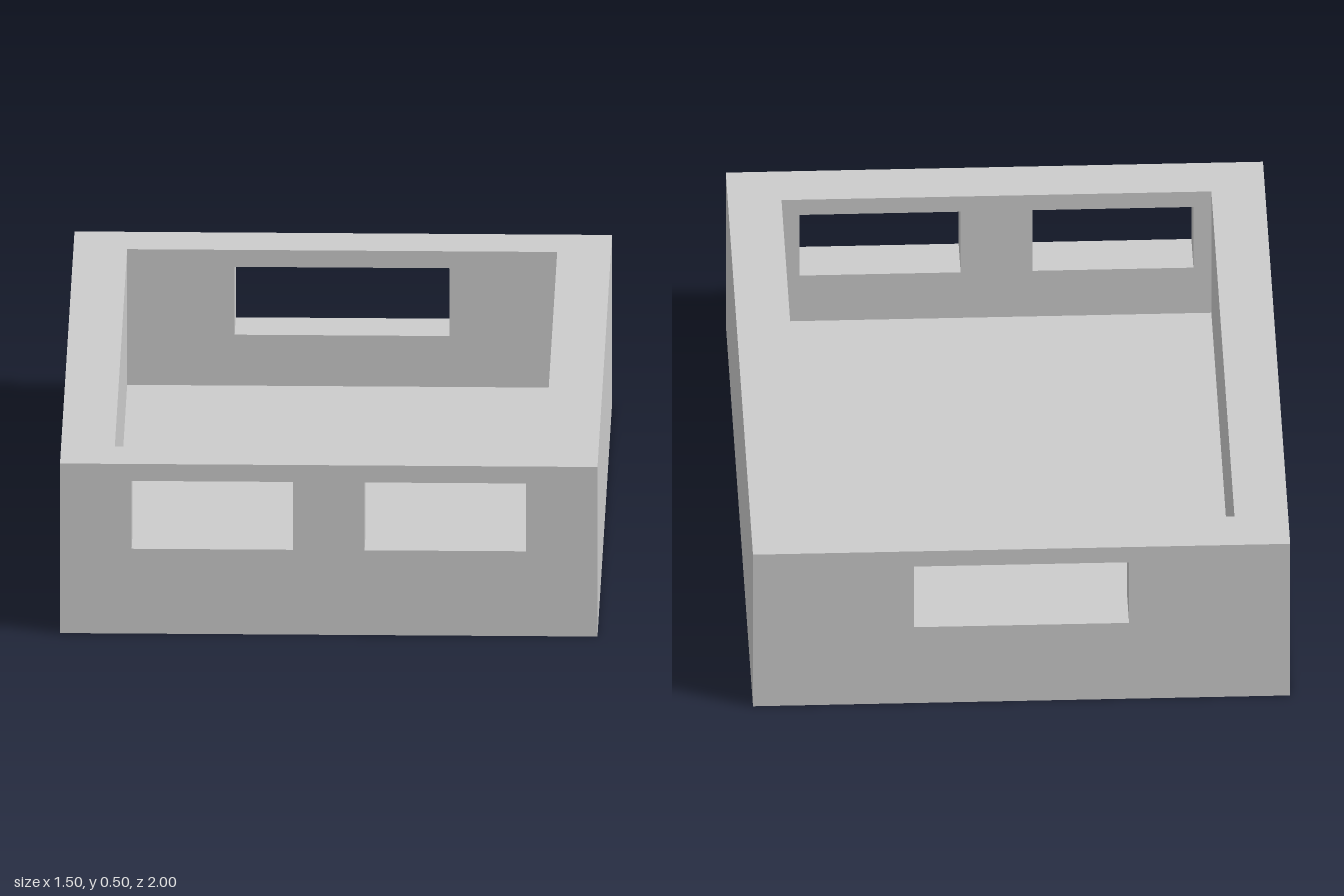
import * as THREE from 'three';

const W = 0.75, H = 0.5, L = 1, WALL = 0.15, FLOOR = 0.1;
const SILL = 0.25, LINTEL = 0.45;

const polygon = (points, Type = THREE.Shape) =>
  new Type(points.map(([x, y]) => new THREE.Vector2(x, y)));

const rect = (x0, x1, y0, y1, Type) =>
  polygon([[x0, y0], [x1, y0], [x1, y1], [x0, y1]], Type);

// Extrudes a front-facing outline from z0 to z1
function slab(name, shape, z0, z1, material) {
  const geometry = new THREE.ExtrudeGeometry(shape, { depth: z1 - z0, bevelEnabled: false });
  geometry.translate(0, 0, z0);
  const mesh = new THREE.Mesh(geometry, material);
  mesh.name = name;
  return mesh;
}

// End wall pierced by rectangular openings, each given as [x0, x1]
function endWall(name, openings, z0, z1, material) {
  const shape = rect(-W, W, 0, H);
  for (const [x0, x1] of openings) shape.holes.push(rect(x0, x1, SILL, LINTEL, THREE.Path));
  return slab(name, shape, z0, z1, material);
}

export function createModel() {
  const group = new THREE.Group();
  group.name = 'openTray';
  const material = new THREE.MeshStandardMaterial({ color: 0xcccccc, flatShading: true });

  // Floor and both long walls as one U-shaped section
  const inner = W - WALL;
  const trough = polygon([
    [-W, 0], [W, 0], [W, H], [inner, H],
    [inner, FLOOR], [-inner, FLOOR], [-inner, H], [-W, H],
  ]);
  group.add(slab('floorAndSideWalls', trough, -L + WALL, L - WALL, material));

  // Front wall with two windows, back wall with one wide window
  group.add(endWall('frontWall', [[-0.55, -0.1], [0.1, 0.55]], L - WALL, L, material));
  group.add(endWall('backWall', [[-0.3, 0.3]], -L, -L + WALL, material));

  return group;
}
